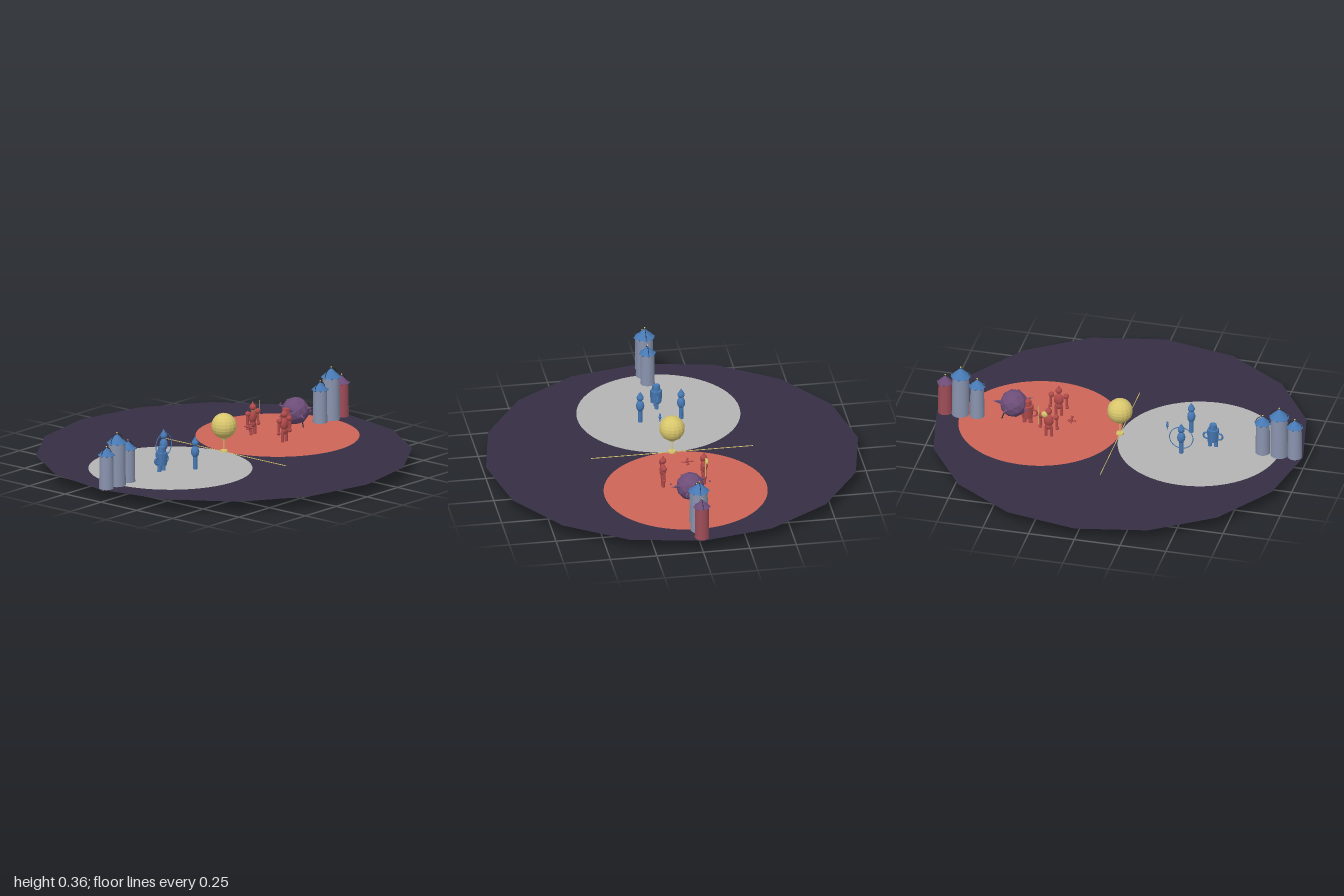
import * as THREE from 'three';

const mat = (name, color, extra = {}) => {
  const m = new THREE.MeshStandardMaterial({ color, ...extra });
  m.name = name;
  return m;
};

export function createModel() {
  const root = new THREE.Group();
  root.name = 'arena';
  const both = { side: THREE.DoubleSide }, flat = { flatShading: true };
  const night = mat('night ground', 0x362f45, both);
  const grey = mat('grey field', 0xb4b4b4, both);
  const coral = mat('coral field', 0xcd6657, both);
  const stone = mat('blue stone', 0x8993ae);
  const blue = mat('blue', 0x4779b4);
  const red = mat('red', 0xb04a4a);
  const redStone = mat('red stone', 0x9e4d58);
  const purple = mat('purple', 0x6d4d78, flat);
  const gold = mat('gold', 0xd8c66c, flat);
  const dark = mat('dark metal', 0x2c2c34);

  const add = (parent, name, geo, material, x = 0, y = 0, z = 0) => {
    const m = new THREE.Mesh(geo, material);
    m.name = name;
    m.position.set(x, y, z);
    parent.add(m);
    return m;
  };
  const group = (name, x = 0, y = 0, z = 0) => {
    const g = new THREE.Group();
    g.name = name;
    g.position.set(x, y, z);
    root.add(g);
    return g;
  };
  const ball = (r) => new THREE.SphereGeometry(r, 14, 10);
  const rod = (rt, rb, h, n = 12) => new THREE.CylinderGeometry(rt, rb, h, n);
  const ring = (r, t, arc = Math.PI * 2) => new THREE.TorusGeometry(r, t, 6, 32, arc);

  // Ground, the two fields and the centre line
  const floor = 0.068;
  const disc = (name, r, n, m, x, y) =>
    add(root, name, new THREE.CircleGeometry(r, n).rotateX(-Math.PI / 2), m, x, y);
  disc('ground', 1, 16, night, 0, floor);
  disc('greyField', 0.435, 64, grey, -0.435, floor + 0.002);
  disc('coralField', 0.435, 64, coral, 0.435, floor + 0.002);
  add(root, 'centreLine', new THREE.BoxGeometry(0.003, 0.004, 0.87), gold, 0, floor + 0.001);

  // Golden orb on a stand
  const orb = group('orbStand');
  add(orb, 'orb', new THREE.SphereGeometry(0.068, 16, 12), gold, 0, 0.213);
  add(orb, 'stem', rod(0.004, 0.004, 0.09), gold, 0, 0.11);
  add(orb, 'collar', rod(0.016, 0.01, 0.015), gold, 0, 0.142);
  add(orb, 'foot', rod(0.02, 0.022, 0.014), gold, 0, 0.072);

  // Castle towers with conical roofs, rim studs and arches
  const tower = (x, r, eaves, peak, wall, roof) => {
    const g = group('tower', x);
    add(g, 'wall', rod(r * 0.93, r, eaves - 0.064, 20), wall, 0, (eaves + 0.064) / 2);
    add(g, 'roof', new THREE.ConeGeometry(r * 1.08, peak - eaves, 20), roof, 0, (peak + eaves) / 2);
    for (let i = 0; i < 8; i++) {
      const a = (i * Math.PI) / 4;
      add(g, 'rimStud', ball(0.006), roof, r * Math.cos(a), eaves, r * Math.sin(a));
    }
    add(g, 'arch', ring(r, 0.0018, Math.PI), dark, 0, eaves);
    add(g, 'finial', ball(0.004), gold, 0, peak + 0.004);
  };
  for (const s of [-1, 1]) {
    tower(s * 0.87, 0.048, 0.3, 0.35, stone, blue);
    tower(s * 0.78, 0.039, 0.25, 0.292, stone, blue);
    tower(s * 0.955, 0.039, 0.25, 0.292, s > 0 ? redStone : stone, s > 0 ? purple : blue);
  }

  // Squat robots with looped arms
  const robot = (x, m) => {
    const g = group('robot', x);
    add(g, 'body', rod(0.033, 0.03, 0.07, 6), m, 0, 0.137);
    add(g, 'head', rod(0.02, 0.022, 0.03, 6), m, 0, 0.188);
    for (const s of [-1, 1]) {
      add(g, 'leg', rod(0.01, 0.012, 0.05), m, s * 0.017, 0.085);
      add(g, 'arm', ring(0.018, 0.005), m, s * 0.034, 0.13);
    }
  };
  robot(-0.508, blue);
  robot(0.505, red);

  // Slim blue figures, the rear one inside a hoop
  for (const z of [-0.11, 0.11]) {
    const g = group('blueFigure', -0.362, 0, z);
    add(g, 'robe', ball(0.022), blue, 0, 0.165).scale.y = 1.5;
    add(g, 'head', ball(0.019), blue, 0, 0.213);
    add(g, 'hat', new THREE.ConeGeometry(0.015, 0.026, 12), blue, 0, 0.237);
    add(g, 'legs', rod(0.012, 0.012, 0.085), blue, 0, 0.098);
    if (z < 0) add(g, 'hoop', ring(0.064, 0.0025), blue, 0, 0.162);
  }

  // Red warriors with round shoulders and hanging arms
  for (const z of [-0.11, 0.11]) {
    const g = group('redWarrior', 0.362, 0, z);
    add(g, 'chest', ball(0.027), red, 0, 0.165).scale.set(1, 1.25, 0.65);
    add(g, 'hips', ball(0.02), red, 0, 0.128).scale.z = 0.7;
    add(g, 'head', ball(0.018), red, 0, 0.22);
    add(g, 'crest', new THREE.ConeGeometry(0.01, 0.02, 10), red, 0, 0.243);
    for (const s of [-1, 1]) {
      add(g, 'shoulder', ball(0.015), red, s * 0.04, 0.19);
      add(g, 'arm', rod(0.008, 0.007, 0.06), red, s * 0.044, 0.16);
      add(g, 'fist', ball(0.01), red, s * 0.046, 0.123);
      add(g, 'leg', rod(0.009, 0.009, 0.065), red, s * 0.015, 0.092);
      add(g, 'foot', ball(0.011), red, s * 0.015, 0.062);
    }
    if (z < 0) {
      add(g, 'staff', rod(0.002, 0.002, 0.11), gold, 0.056, 0.19);
      add(g, 'shield', ball(0.018), gold, 0.02, 0.205, -0.012).scale.z = 0.5;
    }
  }

  // Small hovering sprites
  const sprite = (x, z, m) => {
    const g = group('sprite', x, 0, z);
    add(g, 'body', ball(0.007), m, 0, 0.145).scale.y = 1.8;
    add(g, 'head', ball(0.006), m, 0, 0.162);
    add(g, 'tail', rod(0.003, 0.001, 0.02, 8), m, 0, 0.127);
    return g;
  };
  sprite(-0.253, 0.022, blue);
  const dart = sprite(0.253, -0.04, red);
  add(dart, 'shaft', rod(0.003, 0.003, 0.07, 8).rotateX(Math.PI / 2), red, 0, 0.143);
  for (const s of [-1, 1]) add(dart, 'wing', ball(0.008), red, s * 0.016, 0.137).scale.y = 0.7;

  // Spiked purple beast with a dark hoop beneath
  const beast = group('spikedBeast', 0.58, 0.175, 0);
  add(beast, 'body', new THREE.IcosahedronGeometry(0.075, 1), purple);
  for (let i = 0; i < 8; i++) {
    const a = (i * Math.PI) / 4 + Math.PI / 8;
    const d = new THREE.Vector3(Math.cos(a), i % 2 ? 0.25 : -0.2, Math.sin(a)).normalize();
    const spike = add(beast, 'spike', new THREE.ConeGeometry(0.009, 0.038, 8), purple);
    spike.position.copy(d).multiplyScalar(0.086);
    spike.quaternion.setFromUnitVectors(new THREE.Vector3(0, 1, 0), d);
  }
  add(beast, 'tail', new THREE.ConeGeometry(0.013, 0.05, 8).rotateZ(-Math.PI / 2), purple, 0.09, -0.003);
  for (const s of [-1, 1]) add(beast, 'bead', ball(0.005), purple, 0, 0.02, s * 0.105);
  add(root, 'hoop', ring(0.064, 0.003), dark, 0.58, 0.067);

  return root;
}
